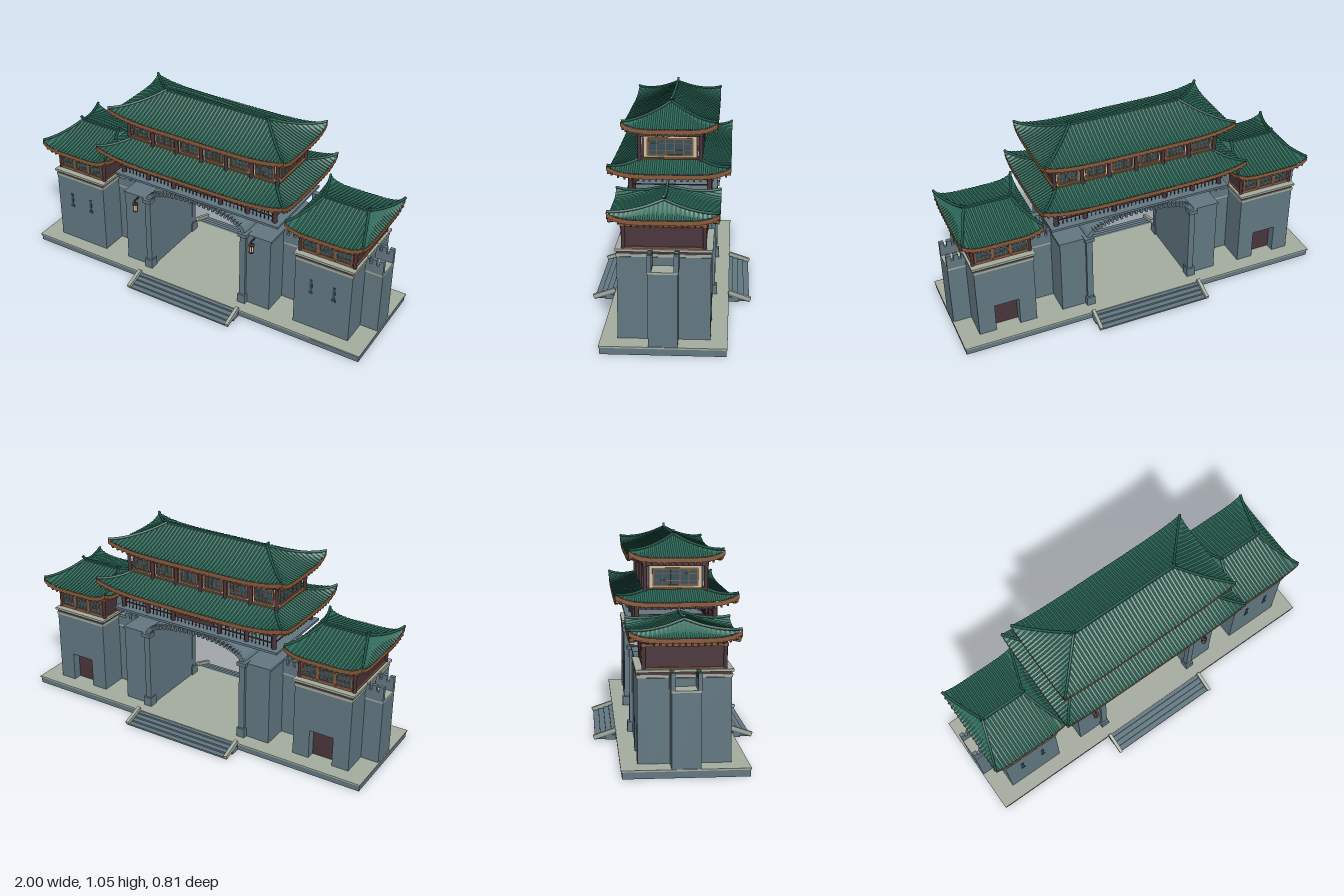
import * as THREE from 'three';
import { mergeGeometries } from 'three/addons/utils/BufferGeometryUtils.js';

const mat = (name, color) => Object.assign(new THREE.MeshStandardMaterial({ color }), { name });
const STONE = mat('blue grey stone', 0x627781), PALE = mat('pale stone', 0xa4ab9f);
const TILE = mat('green roof tile', 0x2c6858), RIDGE = mat('dark green ridge', 0x24574b);
const DARK = mat('dark red wood', 0x49343a), TIMBER = mat('orange brown timber', 0x87583a);
const CREAM = mat('cream plaster', 0xcdc2a4), GLASS = mat('teal glass', 0x2f4f5b);
const V = (x, y, z) => new THREE.Vector3(x, y, z);

// One mesh from a list of geometries
function add(parent, name, material, geos) {
  const parts = [geos].flat().map(g => {
    const n = g.index ? g.toNonIndexed() : g;
    n.deleteAttribute('uv');
    return n;
  });
  const mesh = new THREE.Mesh(mergeGeometries(parts), material);
  mesh.name = name;
  parent.add(mesh);
  return mesh;
}
// Box given by its limits on each axis
const box = (x0, x1, y0, y1, z0, z1) => new THREE.BoxGeometry(Math.abs(x1 - x0), y1 - y0, z1 - z0)
  .translate((x0 + x1) / 2, (y0 + y1) / 2, (z0 + z1) / 2);
// Square bar between two points
function bar(p, q, w, h) {
  const m = new THREE.Matrix4().lookAt(p, q, V(0, 1, 0)).setPosition(p.clone().add(q).multiplyScalar(0.5));
  return new THREE.BoxGeometry(w, h, p.distanceTo(q)).applyMatrix4(m);
}
const column = (x, z, y0, y1, r) => new THREE.CylinderGeometry(r, r, y1 - y0, 10).translate(x, (y0 + y1) / 2, z);

// Curved hip roof: ribbed tiles, eave board, soffit, rafters, hips and ridge
function roof(parent, name, { hx, hz, tx, tz, yE, yT, lift, reach }) {
  const g = new THREE.Group();
  g.name = name;
  parent.add(g);
  const tiles = [], soffits = [], eaves = [], rafters = [], hips = [];
  for (let k = 0; k < 4; k++) {
    const [L, l, D, d] = k % 2 ? [hz, tz, hx, tx] : [hx, tx, hz, tz];
    const c = Math.round(Math.cos(k * Math.PI / 2)), s = Math.round(Math.sin(k * Math.PI / 2));
    const point = (a, t, dy = 0) => {
      const corner = Math.min(1, Math.abs(a) / (l + (L - l) * (1 - t) + 1e-6));
      const y = yE + (yT - yE) * Math.pow(t, 1.35) + lift * corner ** 5 * (1 - t) ** 2 + dy;
      const w = d + (D - d) * (1 - t);
      return V(a * c + w * s, y, -a * s + w * c);
    };
    const tMax = a => Math.abs(a) <= l ? 1 : (L - Math.abs(a)) / (L - l);
    const sheet = (nu, nv, f, flip) => {
      const pos = [], index = [];
      for (let i = 0; i <= nu; i++) for (let j = 0; j <= nv; j++) pos.push(...f(i, j).toArray());
      for (let i = 0; i < nu; i++) for (let j = 0; j < nv; j++) {
        const a = i * (nv + 1) + j, b = a + nv + 1;
        index.push(...(flip ? [a, b + 1, b, a, a + 1, b + 1] : [a, b, b + 1, a, b + 1, a + 1]));
      }
      const geo = new THREE.BufferGeometry();
      geo.setAttribute('position', new THREE.Float32BufferAttribute(pos, 3));
      geo.setIndex(index);
      const flat = geo.toNonIndexed();
      flat.computeVertexNormals();
      return flat;
    };
    const nu = 2 * Math.round(2 * L / 0.02), at = i => -L + 2 * L * i / nu;
    tiles.push(sheet(nu, 9, (i, j) => point(at(i), tMax(at(i)) * j / 9, i % 2 ? 0.004 : 0)));
    soffits.push(sheet(nu / 2, 6, (i, j) => point(at(2 * i), tMax(at(2 * i)) * j / 6, -0.02), true));
    eaves.push(sheet(nu, 1, (i, j) => point(at(i), 0, j ? 0 : -0.022)));
    for (let a = -L + 0.025; a <= L - 0.02; a += (2 * L - 0.05) / Math.round(L / 0.016))
      rafters.push(bar(point(a, 0.01, -0.027), point(a, Math.min(tMax(a), reach), -0.027), 0.009, 0.014));
    // Hip ridge rising to an upturned corner
    const path = [0, 0.1, 0.25, 0.45, 0.7, 1].map(t => point(l + (L - l) * (1 - t), t, 0.005));
    hips.push(new THREE.TubeGeometry(new THREE.CatmullRomCurve3(path), 14, 0.007, 6));
  }
  add(g, 'roofTiles', TILE, tiles);
  add(g, 'soffit', DARK, soffits);
  add(g, 'eaveBoard', TIMBER, eaves).material.side = THREE.DoubleSide;
  add(g, 'rafters', TIMBER, rafters);
  if (!tz) {
    hips.push(box(-tx, tx, yT - 0.01, yT + 0.009, -0.007, 0.007));
    for (const s of [-1, 1]) hips.push(bar(V(s * (tx - 0.015), yT, 0), V(s * (tx + 0.013), yT + 0.022, 0), 0.011, 0.011));
  }
  add(g, 'ridges', RIDGE, hips);
  return g;
}

// Lattice window facing +z, placed by position and turn
function lattice(parent, w, h, x, y, z, turn, cols, surround = 0) {
  const g = new THREE.Group();
  g.name = 'latticeWindow';
  g.position.set(x, y, z);
  g.rotation.y = turn;
  parent.add(g);
  const X = w / 2, Y = h / 2;
  if (surround) add(g, 'plasterSurround', CREAM, box(-X - surround, X + surround, -Y - surround, Y + surround, 0, 0.004));
  add(g, 'glass', GLASS, box(-X, X, -Y, Y, 0, 0.006));
  const bars = [-1, 1].flatMap(s => [box(s * X - 0.004, s * X + 0.004, -Y, Y, 0, 0.01), box(-X, X, s * Y - 0.004, s * Y + 0.004, 0, 0.01)]);
  for (let i = 1; i < cols; i++) bars.push(box(-X + w * i / cols - 0.0015, -X + w * i / cols + 0.0015, -Y, Y, 0, 0.008));
  for (const v of [-0.4, 0.4]) bars.push(box(-X, X, v * Y - 0.0015, v * Y + 0.0015, 0, 0.008));
  add(g, 'frame', TIMBER, bars);
}

function sideTower(root, s) {
  const g = new THREE.Group();
  g.name = s > 0 ? 'leftTower' : 'rightTower';
  g.position.x = s * 0.745;
  root.add(g);
  // Body with a doorway recess in the back
  add(g, 'towerBody', STONE, [box(-0.155, 0.155, 0.04, 0.43, -0.16, 0.212), box(-0.155, 0.155, 0.2, 0.43, -0.212, -0.16),
    box(-0.155, -0.065, 0.04, 0.2, -0.212, -0.16), box(0.065, 0.155, 0.04, 0.2, -0.212, -0.16)]);
  add(g, 'backDoor', DARK, box(-0.065, 0.065, 0.04, 0.2, -0.165, -0.159));
  add(g, 'arrowSlits', GLASS, [-0.063, 0.063].flatMap(x => [box(x - 0.007, x + 0.007, 0.255, 0.335, 0.21, 0.215),
    box(x - 0.011, x + 0.011, 0.25, 0.262, 0.21, 0.216)]));
  add(g, 'paleCourse', PALE, [box(-0.158, 0.158, 0.432, 0.446, -0.216, 0.216), box(-0.165, 0.165, 0.458, 0.47, -0.22, 0.22)]);
  add(g, 'darkCourse', DARK, box(-0.155, 0.155, 0.445, 0.459, -0.212, 0.212));
  // Chamber
  add(g, 'chamber', DARK, [box(-0.145, 0.145, 0.465, 0.6, -0.18, 0.18),
    ...[-1, 1].flatMap(a => [-1, 1].map(b => column(a * 0.148, b * 0.183, 0.465, 0.59, 0.009)))]);
  add(g, 'chamberBeams', TIMBER, [box(-0.158, 0.158, 0.572, 0.585, -0.195, 0.195), box(-0.152, 0.152, 0.47, 0.478, -0.187, 0.187)]);
  for (const b of [0, 1]) for (const x of [-0.092, 0, 0.092])
    lattice(g, 0.084, 0.082, x, 0.525, b ? -0.18 : 0.18, b * Math.PI, 4);
  roof(g, 'towerRoof', { hx: 0.207, hz: 0.25, tx: 0.12, tz: 0, yE: 0.615, yT: 0.685, lift: 0.035, reach: 0.35 });
  // Crenellated walkways on both flanks
  const walls = [], floors = [];
  for (const [e, end] of [[s, 0.25], [-s, 0.305]]) {
    const at = v => [e * 0.15, e * (0.15 + (end - 0.15) * v)];
    walls.push(box(...at(1), 0.04, 0.382, -0.066, 0.066));
    floors.push(box(...at(1), 0.382, 0.392, -0.07, 0.07));
    for (const z of [-0.06, 0.06]) {
      walls.push(box(...at(1), 0.39, 0.44, z - 0.01, z + 0.01));
      const x1 = at(1)[1], n = 3;
      for (let i = 0; i < n; i++) {
        const x = x1 - e * (0.012 + i * 0.038);
        walls.push(box(x - 0.012, x + 0.012, 0.43, 0.47, z - 0.01, z + 0.01));
      }
    }
  }
  add(g, 'walkwayWalls', STONE, walls);
  add(g, 'walkwayFloors', PALE, floors);
  // Screen wall between tower and gatehouse
  add(g, 'screenWall', STONE, box(-s * 0.23, -s * 0.185, 0.5, 0.62, -0.12, -0.09));
}

function gate(root) {
  const g = new THREE.Group();
  g.name = 'gate';
  root.add(g);
  const piers = [], trims = [];
  for (const s of [-1, 1]) {
    piers.push(box(s * 0.278, s * 0.445, 0.04, 0.465, -0.205, 0.205));
    trims.push(box(s * 0.275, s * 0.45, 0.46, 0.472, -0.21, 0.21));
    for (const z of [-0.205, 0.205]) trims.push(box(s * 0.275, s * 0.308, 0.04, 0.46, z - 0.015, z + 0.015),
      box(s * 0.27, s * 0.315, 0.04, 0.09, z - 0.025, z + 0.025), box(s * 0.268, s * 0.318, 0.455, 0.475, z - 0.025, z + 0.025));
  }
  add(g, 'piers', STONE, piers);
  add(g, 'pilasters', STONE, trims);
  // Flattened vault with a row of arch stones on each face
  const arch = (w, h, v) => new THREE.Vector2(w * Math.cos(v), 0.465 + h * Math.pow(Math.sin(v), 0.85));
  const angles = Array.from({ length: 33 }, (_, i) => Math.PI * Math.min(0.99999, i / 32));
  const shape = new THREE.Shape([...angles.map(v => arch(0.302, 0.098, v)), ...angles.reverse().map(v => arch(0.276, 0.078, v))]);
  add(g, 'vault', STONE, new THREE.ExtrudeGeometry(shape, { depth: 0.4, bevelEnabled: false }).translate(0, 0, -0.2));
  const stones = [];
  for (let i = 1; i < 32; i++) for (const z of [-0.205, 0.205]) {
    const v = Math.PI * i / 32, p = arch(0.29, 0.09, v);
    stones.push(new THREE.BoxGeometry(0.013, 0.024, 0.022).rotateZ((v - Math.PI / 2) * 0.6).translate(p.x, p.y, z));
  }
  add(g, 'archStones', STONE, stones);
  add(g, 'gallerySlab', STONE, [box(-0.47, 0.47, 0.562, 0.574, -0.205, 0.205), box(-0.49, 0.49, 0.574, 0.586, -0.225, 0.225)]);
  // Hanging lanterns
  for (const x of [-0.355, 0.355]) {
    const l = new THREE.Group();
    l.name = 'lantern';
    l.position.set(x, 0, 0.24);
    g.add(l);
    add(l, 'shade', CREAM, column(0, 0, 0.4, 0.437, 0.012));
    add(l, 'cage', DARK, [box(-0.002, 0.002, 0.43, 0.467, -0.002, 0.002), box(-0.003, 0.003, 0.46, 0.467, -0.04, 0.01),
      column(0, 0, 0.394, 0.401, 0.014), column(0, 0, 0.435, 0.443, 0.016)]);
    add(l, 'ribs', TIMBER, [0, 1, 2, 3, 4, 5].map(i => column(0.013 * Math.cos(i * 1.047), 0.013 * Math.sin(i * 1.047), 0.4, 0.437, 0.002)));
  }
}

function pavilion(root) {
  const g = new THREE.Group();
  g.name = 'pavilion';
  root.add(g);
  // Open gallery
  const wood = [], rails = [];
  for (const z of [-0.19, 0.19]) {
    for (const x of [-0.455, -0.3, -0.14, 0.14, 0.3, 0.455]) wood.push(column(x, z, 0.585, 0.71, 0.012));
    for (const y of [0.612, 0.648]) rails.push(box(-0.455, 0.455, y, y + 0.005, z - 0.003, z + 0.003));
    for (let x = -0.44; x < 0.45; x += 0.022) rails.push(box(x - 0.0015, x + 0.0015, 0.586, 0.65, z - 0.002, z + 0.002));
    wood.push(box(-0.47, 0.47, 0.678, 0.7, z - 0.01, z + 0.01));
  }
  for (const x of [-0.455, 0.455]) {
    wood.push(box(x - 0.01, x + 0.01, 0.678, 0.7, -0.19, 0.19));
    for (const y of [0.612, 0.648]) rails.push(box(x - 0.003, x + 0.003, y, y + 0.005, -0.19, 0.19));
  }
  add(g, 'galleryFrame', DARK, wood);
  add(g, 'railing', DARK, rails);
  add(g, 'hangingBoards', DARK, [-0.2, 0.2].map(z => box(-0.115, 0.115, 0.615, 0.69, z - 0.005, z + 0.005)));
  add(g, 'galleryCeiling', DARK, box(-0.46, 0.46, 0.7, 0.712, -0.195, 0.195));
  roof(g, 'lowerRoof', { hx: 0.55, hz: 0.295, tx: 0.42, tz: 0.13, yE: 0.72, yT: 0.775, lift: 0.04, reach: 0.7 });
  // Upper storey
  add(g, 'upperWalls', DARK, box(-0.43, 0.43, 0.72, 0.92, -0.135, 0.135));
  const posts = [];
  for (const z of [-0.148, 0.148]) for (let i = -3; i <= 3; i++) posts.push(column(i * 0.1465, z, 0.75, 0.905, 0.01));
  posts.push(box(-0.455, 0.455, 0.885, 0.905, -0.16, 0.16));
  add(g, 'upperPosts', DARK, posts);
  add(g, 'upperBeams', TIMBER, [box(-0.446, 0.446, 0.772, 0.779, -0.146, 0.146), box(-0.46, 0.46, 0.903, 0.912, -0.165, 0.165)]);
  for (const b of [0, 1]) {
    for (let i = -2.5; i < 3; i++) lattice(g, 0.1, 0.078, i * 0.146, 0.831, b ? -0.135 : 0.135, b * Math.PI, 5, 0.011);
    lattice(g, 0.216, 0.082, b ? -0.43 : 0.43, 0.83, 0, b ? -Math.PI / 2 : Math.PI / 2, 5, 0.018);
  }
  roof(g, 'upperRoof', { hx: 0.51, hz: 0.23, tx: 0.295, tz: 0, yE: 0.928, yT: 1.025, lift: 0.036, reach: 0.38 });
}

function base(root) {
  add(root, 'baseSlab', STONE, box(-0.995, 0.995, 0, 0.032, -0.285, 0.285));
  add(root, 'paving', PALE, box(-1, 1, 0.032, 0.04, -0.29, 0.29));
  // Front and back steps with sloping kerbs
  const steps = [], kerbs = [];
  for (const s of [-1, 1]) {
    for (let i = 0; i < 4; i++) {
      const [z0, z1] = [s * 0.28, s * (0.31 + i * 0.028)].sort((a, b) => a - b);
      steps.push(box(-0.3, 0.3, 0, 0.036 - i * 0.009, z0, z1));
    }
    for (const x of [-0.306, 0.306]) {
      steps.push(bar(V(x, 0.006, s * 0.396), V(x, 0.036, s * 0.29), 0.014, 0.012), box(x - 0.007, x + 0.007, 0, 0.024, Math.min(s * 0.29, s * 0.34), Math.max(s * 0.29, s * 0.34)));
      kerbs.push(bar(V(x, 0.014, s * 0.401), V(x, 0.052, s * 0.289), 0.018, 0.018));
    }
  }
  add(root, 'steps', STONE, steps);
  add(root, 'stepKerbs', PALE, kerbs);
}

export function createModel() {
  const root = new THREE.Group();
  root.name = 'gatehouse';
  base(root);
  gate(root);
  pavilion(root);
  for (const s of [-1, 1]) sideTower(root, s);
  return root;
}
